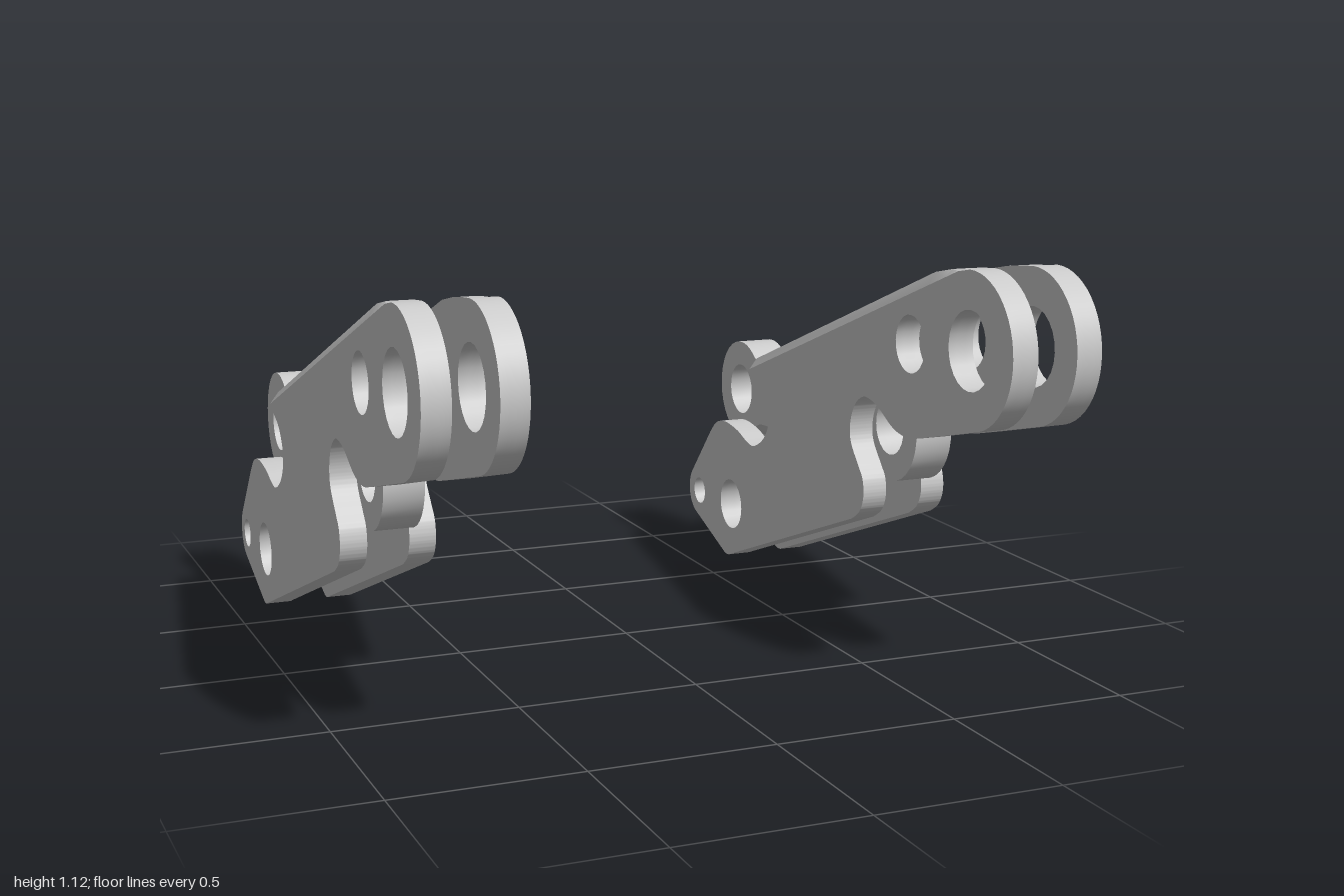
import * as THREE from 'three';
import { toCreasedNormals } from 'three/addons/utils/BufferGeometryUtils.js';

const HALF = 0.13;       // half width of one link
const GAP = 0.057;       // half gap between its side plates
const material = new THREE.MeshStandardMaterial({ color: 0xcccccc });

const vecs = (pts) => pts.map(([a, b]) => new THREE.Vector2(a, b));

function addHole(shape, x, y, r) {
  shape.holes.push(new THREE.Path().absarc(x, y, r, 0, Math.PI * 2, true));
}

// Extrude a profile drawn in (z, y) so that its thickness runs along x
function extrudeSide(shape, depth, steps = 1) {
  const geo = new THREE.ExtrudeGeometry(shape, { depth, steps, bevelEnabled: false, curveSegments: 12 });
  return geo.rotateY(-Math.PI / 2);
}

function makeMesh(geo, name) {
  const mesh = new THREE.Mesh(toCreasedNormals(geo, 0.5), material);
  mesh.name = name;
  return mesh;
}

function plateShape() {
  const s = new THREE.Shape();
  // front eye and sloping top edge
  s.absarc(0.79, 0.91, 0.21, -1.29, 1.62, false);
  [[0.72, 1.114], [0.65, 1.104], [0.564, 1.086], [-0.537, 0.674], [-0.527, 0.642], [-0.515, 0.631]]
    .forEach(([z, y]) => s.lineTo(z, y));
  // rear notch that clears the arm
  s.splineThru(vecs([[-0.436, 0.594], [-0.393, 0.535], [-0.398, 0.481], [-0.436, 0.433], [-0.5, 0.401],
    [-0.553, 0.406], [-0.623, 0.428], [-0.714, 0.439], [-0.783, 0.425], [-0.832, 0.385]]));
  // rear tip and bottom edge
  s.absarc(-0.917, 0.166, 0.083, 2.45, 4.37, false);
  s.lineTo(-0.72, 0.006);
  s.quadraticCurveTo(-0.69, -0.006, -0.66, 0.01);
  s.lineTo(0.168, 0.321);
  // lower front hook around the arm pivot
  s.splineThru(vecs([[0.214, 0.353], [0.235, 0.4], [0.228, 0.45], [0.2, 0.485], [0.152, 0.545],
    [0.146, 0.6], [0.17, 0.655], [0.21, 0.685], [0.25, 0.69], [0.31, 0.674], [0.4, 0.631],
    [0.48, 0.62], [0.543, 0.631]]));
  s.closePath();
  addHole(s, 0.79, 0.91, 0.107);
  addHole(s, 0.48, 0.88, 0.08);
  addHole(s, -0.666, 0.176, 0.08);
  addHole(s, -0.917, 0.166, 0.043);
  return s;
}

// Side plate; the outer layer is lowered along the top to form a chamfer
function sidePlate(side) {
  const geo = extrudeSide(plateShape(), HALF - GAP, 3);
  geo.translate(side > 0 ? HALF : -GAP, 0, 0);
  const p = geo.attributes.position;
  for (let i = 0; i < p.count; i++) {
    if (Math.abs(p.getX(i)) > HALF - 0.001) {
      p.setY(i, Math.min(p.getY(i), 0.841 + 0.371 * p.getZ(i)));
    }
  }
  return makeMesh(geo, side > 0 ? 'leftPlate' : 'rightPlate');
}

// Sloping web between the plates, with a round slot end at the front and rear
function topWeb() {
  const w = GAP + 0.0005;
  const s = new THREE.Shape();
  s.moveTo(-w, -0.357);
  s.absarc(0, -0.357, w, Math.PI, 0, true);
  s.lineTo(w, 0.467);
  s.absarc(0, 0.467, w, 0, -Math.PI, true);
  s.closePath();
  const geo = new THREE.ExtrudeGeometry(s, { depth: 0.068, bevelEnabled: false, curveSegments: 12 });
  geo.rotateX(Math.PI / 2);
  const p = geo.attributes.position;
  for (let i = 0; i < p.count; i++) p.setY(i, p.getY(i) + 0.875 + 0.374 * p.getZ(i));
  return makeMesh(geo, 'topWeb');
}

// Inner arm: straight bar with a filleted eye at each end
function innerArm() {
  const h = 0.501, R = 0.155, f = 0.08, fx = h - 0.151, fy = 0.18, a = 0.873, PI = Math.PI;
  const s = new THREE.Shape();
  s.absarc(h, 0, R, a - PI, PI - a, false);
  s.absarc(fx, fy, f, -a, -PI / 2, true);
  s.absarc(-fx, fy, f, -PI / 2, a - PI, true);
  s.absarc(-h, 0, R, a, 2 * PI - a, false);
  s.absarc(-fx, -fy, f, PI - a, PI / 2, true);
  s.absarc(fx, -fy, f, PI / 2, a, true);
  s.closePath();
  addHole(s, h, 0, 0.08);
  addHole(s, -h, 0, 0.08);
  const width = 2 * GAP - 0.004;
  const geo = extrudeSide(s, width);
  geo.translate(width / 2, 0, 0).rotateX(-0.065).translate(0, 0.5675, -0.257);
  return makeMesh(geo, 'innerArm');
}

export function createModel() {
  const model = new THREE.Group();
  model.name = 'hingeLinks';
  for (const side of [1, -1]) {
    const link = new THREE.Group();
    link.name = side > 0 ? 'leftLink' : 'rightLink';
    link.add(sidePlate(1), sidePlate(-1), topWeb(), innerArm());
    link.position.x = side * 0.765;
    model.add(link);
  }
  return model;
}
